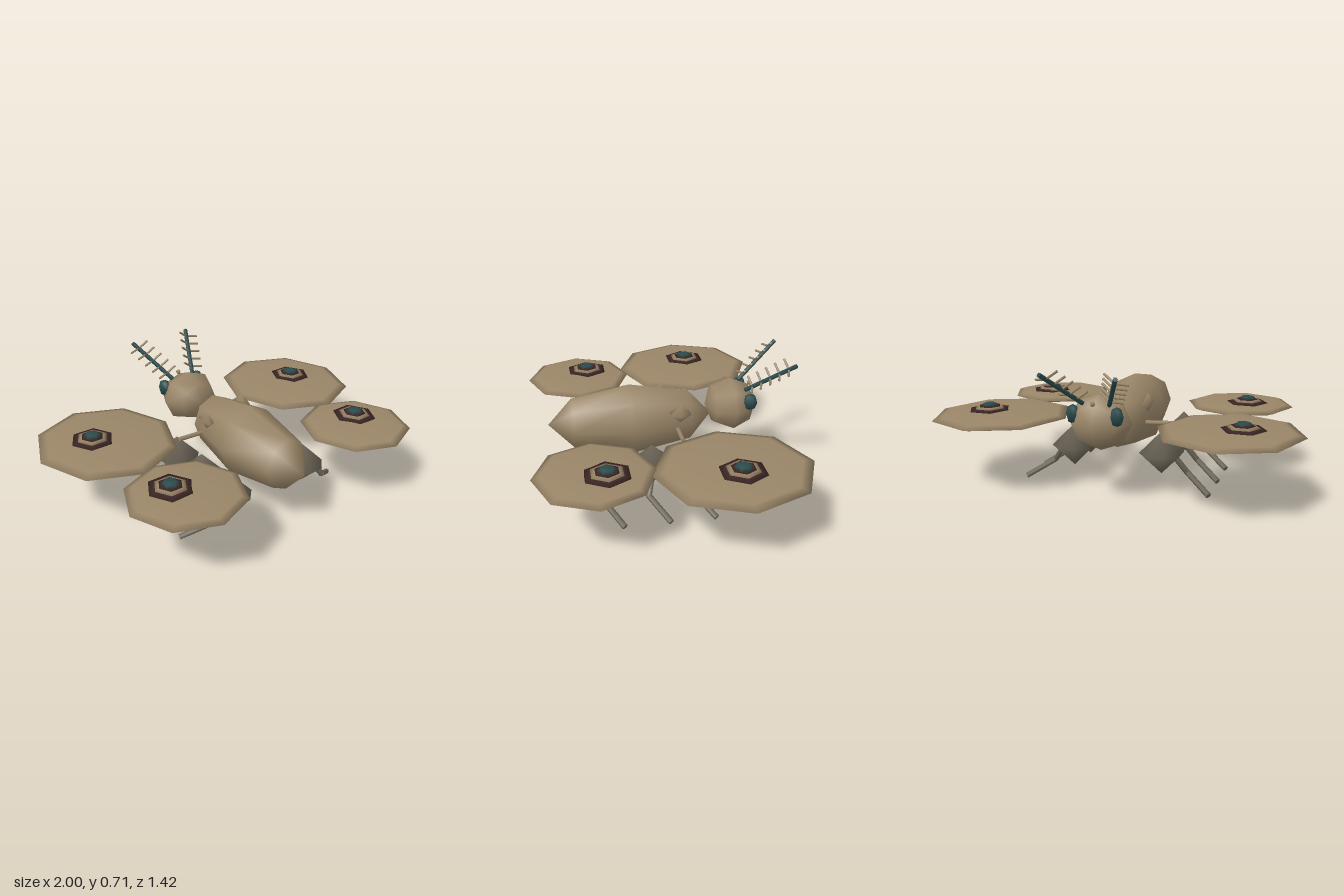
import * as THREE from 'three';

const material = (name, color) => {
  const m = new THREE.MeshStandardMaterial({ color });
  m.name = name;
  return m;
};

export function createModel() {
  const model = new THREE.Group();
  model.name = 'moth';
  const tan = material('tan', 0x9a8668);
  const grey = material('greyBrown', 0x6c6557);
  const brown = material('darkBrown', 0x3d2826);
  const teal = material('darkTeal', 0x2a4a4c);

  const add = (name, geometry, mat, parent = model) => {
    const mesh = new THREE.Mesh(geometry, mat);
    mesh.name = name;
    parent.add(mesh);
    return mesh;
  };

  // Coarse ellipsoid with its poles on y, or on z when alongZ is set
  const blob = (name, mat, pos, size, w, h, alongZ = false, turn = 0) => {
    const g = new THREE.SphereGeometry(1, w, h);
    g.rotateY(turn);
    if (alongZ) g.rotateX(Math.PI / 2);
    const mesh = add(name, g, mat);
    mesh.scale.set(...size);
    mesh.position.set(...pos);
    return mesh;
  };

  // Straight rod between two points
  const rod = (name, mat, a, b, r, sides = 6) => {
    const p = new THREE.Vector3(...a), q = new THREE.Vector3(...b);
    const d = q.clone().sub(p);
    const mesh = add(name, new THREE.CylinderGeometry(r, r, d.length(), sides), mat);
    mesh.position.copy(p).addScaledVector(d, 0.5);
    mesh.quaternion.setFromUnitVectors(new THREE.Vector3(0, 1, 0), d.normalize());
    return mesh;
  };

  // Body and head
  blob('body', tan, [0, 0.36, 0.16], [0.18, 0.206, 0.452], 8, 4, true);
  blob('head', tan, [0, 0.413, -0.4], [0.166, 0.148, 0.142], 8, 4, true);
  blob('browBead', tan, [0, 0.525, -0.51], [0.014, 0.014, 0.014], 6, 4);

  // Uneven shoulder tufts
  blob('leftTuft', tan, [0.15, 0.443, -0.09], [0.045, 0.05, 0.063], 6, 2);
  blob('rightTuft', tan, [-0.135, 0.443, -0.03], [0.032, 0.05, 0.063], 6, 2);

  // Wing discs: centre x, centre z, radii, then the eyespot centre
  const wings = [
    { name: 'foreWing', x: 0.627, z: -0.26, rx: 0.373, rz: 0.405, sx: 0.695, sz: -0.283 },
    { name: 'hindWing', x: 0.565, z: 0.407, rx: 0.303, rz: 0.303, sx: 0.615, sz: 0.353 },
  ];
  // Eyespot layers: material, radius, height, half thickness
  const layers = [
    [brown, 0.117, 0.402, 0.012],
    [tan, 0.084, 0.412, 0.012],
    [brown, 0.063, 0.419, 0.012],
    [teal, 0.046, 0.425, 0.016],
  ];

  for (const s of [1, -1]) {
    const side = s > 0 ? 'left' : 'right';

    for (const w of wings) {
      blob(`${side} ${w.name}`, tan, [s * w.x, 0.376, w.z], [w.rx, 0.028, w.rz], 8, 6);
      layers.forEach(([mat, r, y, h], i) =>
        blob(`${side} ${w.name} eyespot ${i + 1}`, mat, [s * w.sx, y, w.sz], [r, h, r * 1.06], 6, 4,
          false, i === 3 ? Math.PI / 6 : 0));
    }

    // Wing root
    rod(`${side} wingRoot`, tan, [s * 0.14, 0.345, -0.08], [s * 0.28, 0.352, -0.08], 0.012);

    // Three legs, each with a faceted hip, thigh and shin
    for (const z of [-0.155, 0.083, 0.323]) {
      blob(`${side} hip`, grey, [s * 0.25, 0.208, z], [0.119, 0.117, 0.129], 8, 2, false, Math.PI / 8);
      rod(`${side} thigh`, grey, [s * 0.3, 0.215, z], [s * 0.385, 0.095, z + 0.038], 0.016);
      rod(`${side} shin`, grey, [s * 0.38, 0.1, z + 0.04], [s * 0.52, 0.015, z - 0.058], 0.016);
    }

    // Eye
    blob(`${side} eye`, teal, [s * 0.115, 0.463, -0.485], [0.036, 0.05, 0.04], 6, 4);

    // Antenna with paired barbs
    const base = new THREE.Vector3(s * 0.07, 0.515, -0.465);
    const tip = new THREE.Vector3(s * 0.187, 0.69, -0.705);
    rod(`${side} antenna`, teal, base.toArray(), tip.toArray(), 0.012);
    const inward = new THREE.Vector3(-s * 0.055, 0.04, 0.012);
    const outward = new THREE.Vector3(s * 0.062, -0.008, 0.022);
    for (let i = 0; i < 5; i++) {
      const p = base.clone().lerp(tip, 0.15 + i * 0.175);
      for (const d of [inward, outward]) {
        rod(`${side} antennaBarb`, tan, p.toArray(), p.clone().add(d).toArray(), 0.0065, 5);
      }
    }
  }
  return model;
}
